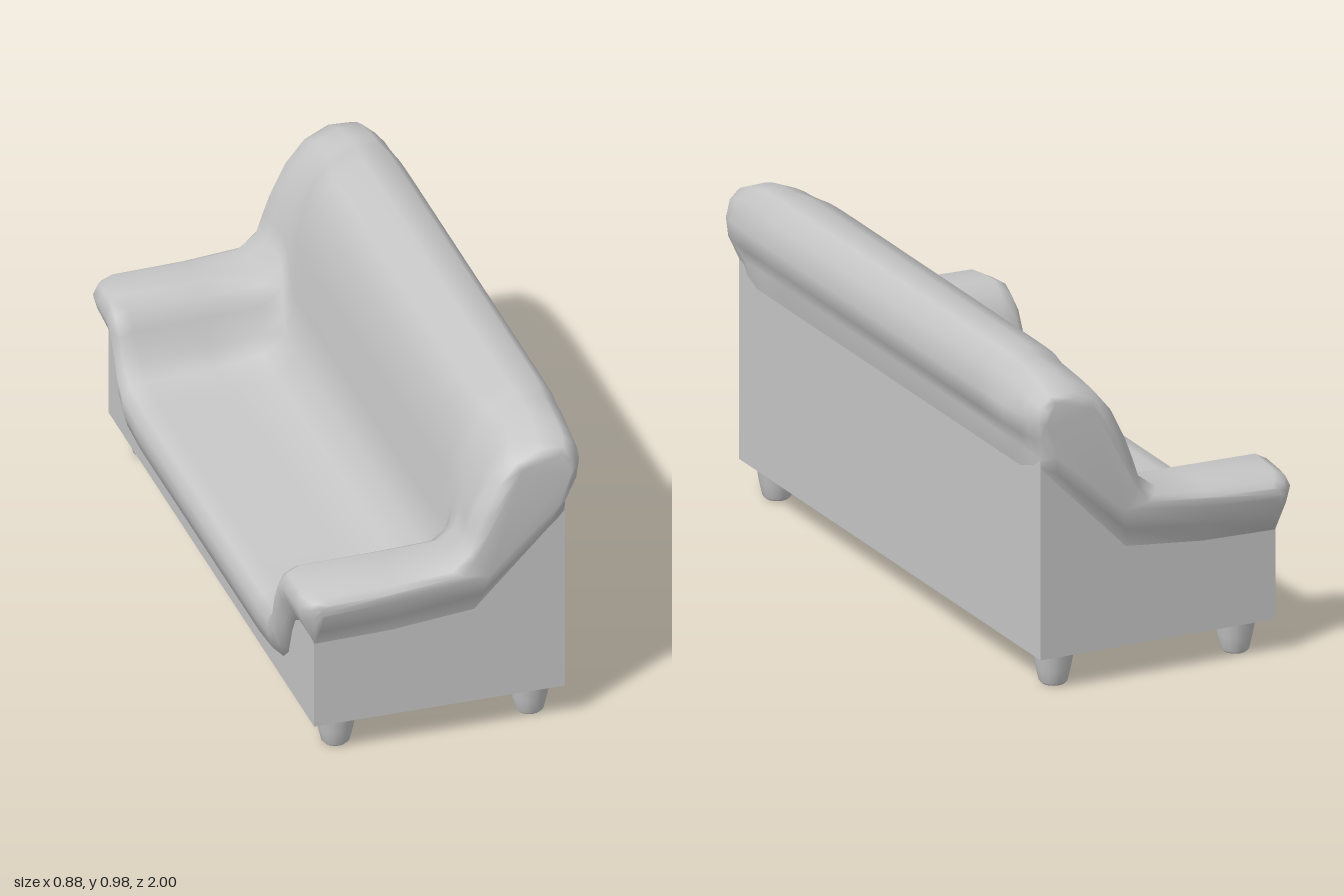
import * as THREE from 'three';

const fabric = new THREE.MeshStandardMaterial({ color: 0xc6c6c6 });
fabric.name = 'light grey';

// Skin a closed surface over equal-length x-y profiles placed at stations along z
function loft(stations) {
  const n = stations[0].profile.length;
  const pos = stations.flatMap(({ z, profile }) => profile.flatMap(([x, y]) => [x, y, z]));
  const index = [];
  for (let i = 0; i < stations.length - 1; i++) {
    for (let j = 0; j < n; j++) {
      const k = (j + 1) % n, a = i * n, b = a + n;
      index.push(a + j, b + k, a + k, a + j, b + j, b + k);
    }
  }
  // Close both ends; each cap must face away from the middle
  stations.forEach(({ z, profile }, i) => {
    if (i > 0 && i < stations.length - 1) return;
    const outline = profile.map((p) => new THREE.Vector2(...p));
    for (const face of THREE.ShapeUtils.triangulateShape(outline, [])) {
      let [a, b, c] = face;
      const turn = outline[b].clone().sub(outline[a]).cross(outline[c].clone().sub(outline[a]));
      if (turn * z < 0) [b, c] = [c, b];
      index.push(i * n + a, i * n + b, i * n + c);
    }
  });
  const g = new THREE.BufferGeometry();
  g.setAttribute('position', new THREE.Float32BufferAttribute(pos, 3));
  g.setIndex(index);
  g.computeVertexNormals();
  return g;
}

const blend = (p, q, t) => p.map(([x, y], i) => [x + (q[i][0] - x) * t, y + (q[i][1] - y) * t]);

export function createModel() {
  const sofa = new THREE.Group();
  sofa.name = 'sofa';
  const add = (name, geometry, x = 0, y = 0, z = 0) => {
    const m = new THREE.Mesh(geometry, fabric);
    m.name = name;
    m.position.set(x, y, z);
    sofa.add(m);
  };
  const box = (name, x0, x1, y0, y1, z) =>
    add(name, new THREE.BoxGeometry(x1 - x0, y1 - y0, 2 * z), (x0 + x1) / 2, (y0 + y1) / 2, 0);

  // Straight body below the padding
  box('base', -0.385, 0.2, 0.105, 0.3, 0.73);
  box('backPanel', 0.2, 0.375, 0.105, 0.72, 0.73);
  const side = new THREE.Shape([
    [-0.385, 0.105], [0.375, 0.105], [0.375, 0.72], [0.3, 0.64], [0.1, 0.45], [-0.385, 0.4],
  ].map((p) => new THREE.Vector2(...p)));
  const sideGeometry = new THREE.ExtrudeGeometry(side, { depth: 0.22, bevelEnabled: false });
  add('leftSidePanel', sideGeometry, 0, 0, 0.73);
  add('rightSidePanel', sideGeometry, 0, 0, -0.95);

  // Profiles from the front roll, over seat or arm, up and over the backrest, then back underneath
  const seat = [
    [-0.38, 0.17], [-0.42, 0.21], [-0.434, 0.26], [-0.435, 0.305], [-0.412, 0.335], [-0.36, 0.347],
    [-0.15, 0.355], [-0.01, 0.375], [0.062, 0.43], [0.09, 0.55], [0.107, 0.7], [0.143, 0.85], [0.2, 0.938],
    [0.29, 0.983], [0.375, 0.982], [0.42, 0.93], [0.437, 0.86], [0.43, 0.8], [0.376, 0.725],
    [0.37, 0.35], [0.1, 0.25], [-0.15, 0.2],
  ];
  const arm = [
    [-0.38, 0.38], [-0.405, 0.42], [-0.425, 0.46], [-0.44, 0.507], [-0.422, 0.55], [-0.385, 0.57],
    [-0.15, 0.573], [0.03, 0.577], [0.085, 0.62], [0.1, 0.68], [0.12, 0.74], [0.162, 0.86], [0.23, 0.943],
    [0.3, 0.971], [0.366, 0.973], [0.408, 0.935], [0.436, 0.86], [0.43, 0.8], [0.376, 0.725],
    [0.37, 0.35], [0.1, 0.13], [-0.15, 0.13],
  ];
  const edge = [
    [-0.384, 0.38], [-0.402, 0.42], [-0.42, 0.46], [-0.433, 0.507], [-0.417, 0.54], [-0.38, 0.56],
    [-0.15, 0.565], [0, 0.575], [0.06, 0.62], [0.08, 0.68], [0.102, 0.74], [0.15, 0.838], [0.205, 0.905],
    [0.29, 0.938], [0.368, 0.936], [0.402, 0.905], [0.418, 0.855], [0.41, 0.795], [0.375, 0.72],
    [0.374, 0.69], [0.1, 0.41], [-0.15, 0.385],
  ];
  const end = [
    [-0.37, 0.49], [-0.378, 0.497], [-0.382, 0.504], [-0.382, 0.513], [-0.375, 0.52], [-0.35, 0.527],
    [-0.15, 0.533], [0.05, 0.552], [0.09, 0.6], [0.12, 0.67], [0.14, 0.73], [0.18, 0.81], [0.23, 0.87],
    [0.29, 0.91], [0.35, 0.905], [0.375, 0.88], [0.38, 0.84], [0.37, 0.79], [0.345, 0.74],
    [0.31, 0.68], [0.13, 0.54], [-0.15, 0.505],
  ];
  // The seat sweeps up into the arm, which rolls over to the outer end
  const half = [
    [0.3, seat], [0.55, seat], [0.67, blend(seat, arm, 0.05)], [0.715, blend(seat, arm, 0.24)],
    [0.745, blend(seat, arm, 0.62)], [0.775, blend(seat, arm, 0.88)], [0.82, arm],
    [0.9, [...blend(arm, edge, 0.45).slice(0, 19), ...arm.slice(19)]],
    [0.95, edge], [0.982, blend(edge, end, 0.5)], [0.998, end],
  ].map(([z, profile]) => ({ z, profile }));
  const mirrored = half.map(({ z, profile }) => ({ z: -z, profile })).reverse();
  add('upholstery', loft([...mirrored, { z: 0, profile: seat }, ...half]));

  // Tapered round feet
  const foot = new THREE.LatheGeometry([
    [0, 0], [0.034, 0], [0.042, 0.008], [0.052, 0.05], [0.062, 0.106],
  ].map((p) => new THREE.Vector2(...p)), 16);
  for (const x of [-0.295, 0.293]) {
    for (const z of [-0.87, 0.87]) add('foot', foot, x, 0, z);
  }
  return sofa;
}
